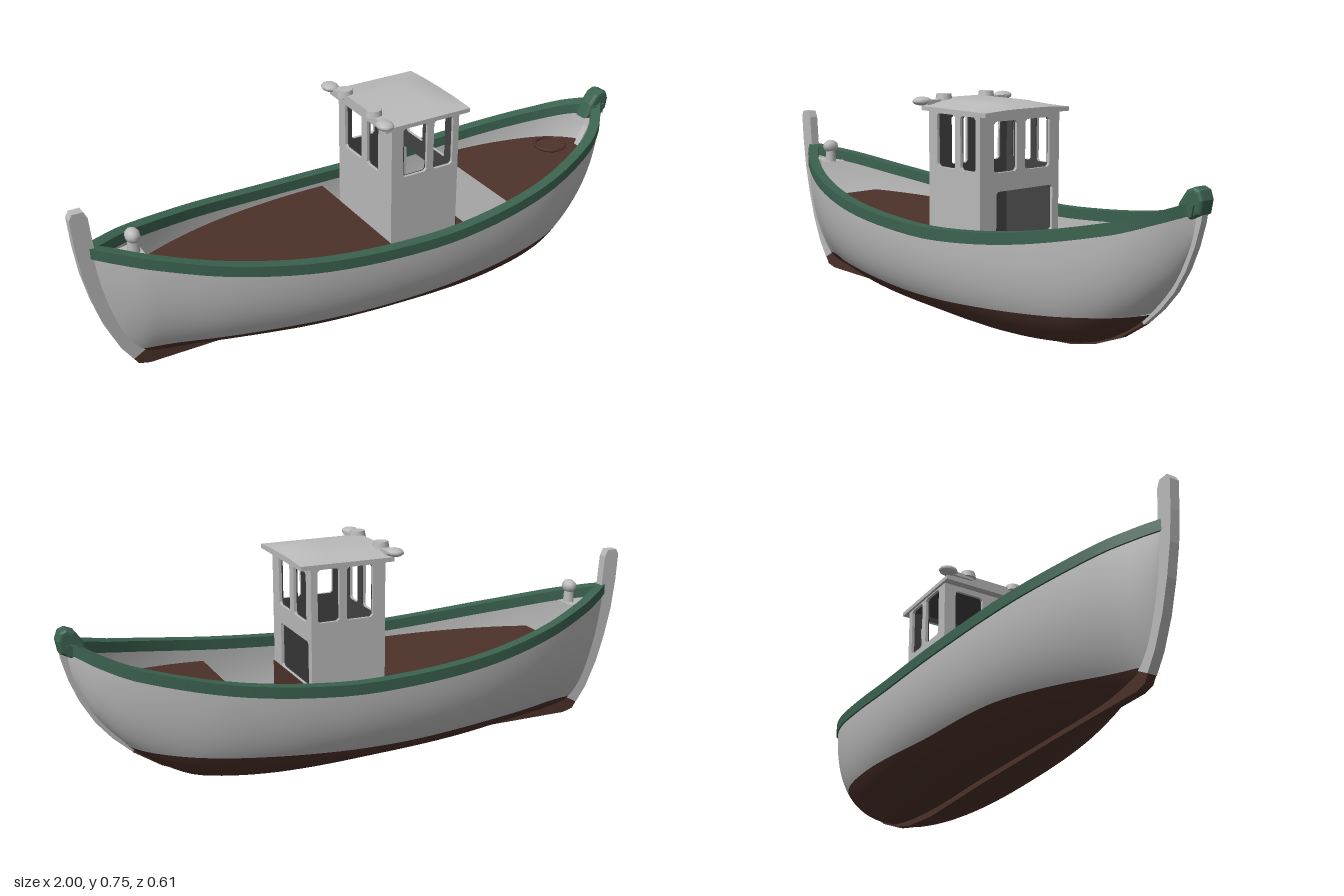
import * as THREE from 'three';

const mat = (name, color) => {
  const m = new THREE.MeshStandardMaterial({ color, side: THREE.DoubleSide });
  m.name = name;
  return m;
};

// Smooth interpolation through [x, value] pairs
function curve(pts) {
  const slope = i => {
    const a = pts[Math.max(0, i - 1)], b = pts[Math.min(pts.length - 1, i + 1)];
    return (b[1] - a[1]) / (b[0] - a[0]);
  };
  return x => {
    let i = 0;
    while (i < pts.length - 2 && x > pts[i + 1][0]) i++;
    const [x0, y0] = pts[i], [x1, y1] = pts[i + 1], h = x1 - x0;
    const t = THREE.MathUtils.clamp((x - x0) / h, 0, 1), t2 = t * t, t3 = t2 * t;
    return y0 * (2 * t3 - 3 * t2 + 1) + y1 * (3 * t2 - 2 * t3)
      + h * (slope(i) * (t3 - 2 * t2 + t) + slope(i + 1) * (t3 - t2));
  };
}

// Hull lines as functions of x
const sheer = curve([[-0.95, 0.488], [-0.8, 0.457], [-0.6, 0.417], [-0.3, 0.376], [0, 0.36], [0.2, 0.362], [0.5, 0.394], [0.8, 0.455], [0.9, 0.49], [0.97, 0.52]]);
const beam = curve([[-0.95, 0.01], [-0.9, 0.048], [-0.8, 0.112], [-0.6, 0.2], [-0.4, 0.255], [-0.2, 0.285], [0, 0.298], [0.2, 0.298], [0.4, 0.283], [0.6, 0.246], [0.8, 0.17], [0.9, 0.1], [0.97, 0.012]]);
const bottom = curve([[-0.95, 0.42], [-0.93, 0.3], [-0.9, 0.19], [-0.86, 0.1], [-0.8, 0.05], [-0.4, 0.035], [0, 0.03], [0.35, 0.022], [0.6, 0.045], [0.7, 0.087], [0.8, 0.157], [0.9, 0.272], [0.95, 0.375], [0.97, 0.43]]);
const fullness = curve([[-0.95, 1], [-0.8, 0.95], [-0.6, 0.62], [-0.4, 0.45], [-0.1, 0.36], [0.3, 0.35], [0.6, 0.36], [0.8, 0.42], [0.97, 0.6]]);
const waterline = curve([[-0.87, 0.08], [-0.4, 0.115], [0, 0.113], [0.4, 0.138], [0.8, 0.17]]);

function hullZ(x, y) {
  const k = bottom(x), v = THREE.MathUtils.clamp((y - k) / (sheer(x) - k), 0, 1);
  return beam(x) * Math.pow(1 - Math.pow(1 - v, 2.5), fullness(x));
}

// Grid surface from fn(u, v), with u and v in 0..1
function surface(nu, nv, fn, flip = false) {
  const pos = [], idx = [];
  for (let i = 0; i <= nu; i++) for (let j = 0; j <= nv; j++) pos.push(...fn(i / nu, j / nv));
  for (let i = 0; i < nu; i++) for (let j = 0; j < nv; j++) {
    const a = i * (nv + 1) + j, b = a + nv + 1;
    if (flip) idx.push(a, a + 1, b, b, a + 1, b + 1);
    else idx.push(a, b, a + 1, b, b + 1, a + 1);
  }
  const g = new THREE.BufferGeometry();
  g.setAttribute('position', new THREE.Float32BufferAttribute(pos, 3));
  g.setIndex(idx);
  g.computeVertexNormals();
  return g;
}

// Centred extrusion of a side profile
function plate(points, depth, holes = [], bevel = 0) {
  const shape = new THREE.Shape(points.map(p => new THREE.Vector2(...p)));
  for (const [x0, x1, y0, y1] of holes) {
    const c = 0.008;
    shape.holes.push(new THREE.Path([[x0, y0 + c], [x0, y1 - c], [x0 + c, y1], [x1 - c, y1], [x1, y1 - c], [x1, y0 + c], [x1 - c, y0], [x0 + c, y0]]
      .map(p => new THREE.Vector2(...p))));
  }
  return new THREE.ExtrudeGeometry(shape, {
    depth, bevelEnabled: bevel > 0, bevelSize: bevel, bevelThickness: bevel, bevelOffset: -bevel, bevelSegments: 3
  }).translate(0, 0, -depth / 2);
}

export function createModel() {
  const white = mat('white paint', 0xbababa);
  const brown = mat('brown paint', 0x4c3129);
  const green = mat('green paint', 0x3b624f);
  const dark = mat('dark interior', 0x424242);
  const boat = new THREE.Group();
  boat.name = 'fishingBoat';
  const add = (name, geo, material, parent = boat) => {
    const m = new THREE.Mesh(geo, material);
    m.name = name;
    parent.add(m);
    return m;
  };
  const lerp = THREE.MathUtils.lerp;
  const station = (u, a = -0.95, b = 0.97) => lerp(a, b, (1 - Math.cos(u * Math.PI)) / 2);
  const floorY = 0.105, wellA = -0.01, wellB = 0.47;
  const inside = (x, y) => Math.max(0, hullZ(x, y) - 0.013);

  // Hull skin, inner lining and gunwale, mirrored
  for (const s of [1, -1]) {
    const side = s > 0 ? 'Left' : 'Right', flip = s < 0;
    add('bottom' + side, surface(60, 14, (u, v) => {
      const x = station(u, -0.87, 0.815), k = bottom(x), y = lerp(k, Math.max(k, waterline(x)), v * v);
      return [x, y, s * hullZ(x, y)];
    }, flip), brown);
    add('topside' + side, surface(110, 14, (u, v) => {
      const x = station(u), y = lerp(Math.max(bottom(x), waterline(x)), sheer(x) - 0.01, v * (0.4 + 0.6 * v));
      return [x, y, s * hullZ(x, y)];
    }, flip), white);
    add('lining' + side, surface(60, 12, (u, v) => {
      const x = station(u, -0.94, 0.95), y = lerp(Math.max(bottom(x) + 0.01, 0.1), sheer(x) - 0.01, v);
      return [x, y, s * inside(x, y)];
    }, !flip), white);
    // Rail faces: outer, top, inner, underside
    const corner = (x, c) => {
      const slope = (beam(x + 0.01) - beam(x - 0.01)) / 0.02;
      const w = 0.031 * Math.min(2, Math.hypot(1, slope));
      const z = c === 0 || c === 1 ? beam(x) + 0.006 : Math.max(0, beam(x) - w);
      return [x, sheer(x) - (c === 0 || c === 3 ? 0.036 : 0), s * z];
    };
    for (let c = 0; c < 4; c++)
      add('gunwale' + side, surface(48, 1, (u, v) => corner(station(u), (c + v) % 4), flip), green);
  }

  // Keel, stem post, stern post and stern cap
  add('keel', plate([[-0.853, 0.055], [-0.838, 0.032], [-0.8, 0.022], [-0.4, 0.02], [0, 0.013], [0.35, 0], [0.5, 0.012], [0.6, 0.035], [0.7, 0.075], [0.79, 0.135],
    [0.77, 0.17], [0.68, 0.12], [0.55, 0.07], [0.35, 0.05], [-0.79, 0.09]], 0.028), brown);
  add('stemPost', plate([[-0.853, 0.055], [-0.89, 0.11], [-0.93, 0.2], [-0.96, 0.3], [-0.982, 0.4], [-0.994, 0.5], [-1, 0.595], [-0.99, 0.613], [-0.955, 0.613],
    [-0.944, 0.59], [-0.935, 0.47], [-0.91, 0.35], [-0.86, 0.2], [-0.79, 0.09]], 0.032), white);
  add('sternPost', plate([[0.79, 0.135], [0.85, 0.19], [0.9, 0.25], [0.94, 0.32], [0.968, 0.39], [0.987, 0.46], [0.993, 0.5], [0.95, 0.5],
    [0.93, 0.42], [0.86, 0.29], [0.77, 0.17]], 0.024), white);
  add('sternCap', plate([[0.9, 0.465], [0.945, 0.46], [0.993, 0.485], [1, 0.525], [0.99, 0.552], [0.97, 0.56], [0.945, 0.55], [0.92, 0.515]], 0.036, [], 0.012), green);
  for (const s of [1, -1])
    add('sternCapKnee', plate([[0.92, 0.475], [0.972, 0.478], [0.978, 0.512], [0.93, 0.51]], 0.016), green).position.z = s * 0.028;

  // Decks, cockpit floor and bulkheads
  const foreY = x => 0.3 - 0.03 * x, aftY = x => 0.31 + 0.1 * (x - wellB);
  const deck = (name, a, b, yAt, zAt, material) => add(name, surface(24, 2, (u, v) => {
    const x = lerp(a, b, u), y = yAt(x);
    return [x, y, (1 - 2 * v) * zAt(x, y)];
  }), material);
  deck('foreDeck', -0.72, wellA, foreY, inside, brown);
  deck('aftDeck', wellB, 0.935, aftY, inside, brown);
  deck('cockpitFloor', wellA, wellB, () => floorY, inside, brown);
  deck('breasthook', -0.93, -0.79, () => 0.435, x => 0.35 * beam(x), white);
  for (const [x, low, top] of [[-0.72, 0.12, foreY(-0.72)], [wellA, floorY, foreY(wellA)], [wellB, floorY, aftY(wellB)]])
    add('bulkhead', surface(1, 8, (u, v) => {
      const y = lerp(low, top, v);
      return [x, y, (1 - 2 * u) * inside(x, y)];
    }, x > 0), white);

  // Wheelhouse walls with dark inner lining, windows and a low opening
  const house = new THREE.Group();
  house.name = 'wheelhouse';
  boat.add(house);
  const wall = (x0, x1, holes, depth, top = 0.71) => plate([[x0, floorY], [x1, floorY], [x1, top], [x0, top]], depth, holes);
  const sideHoles = [[0.037, 0.127, 0.525, 0.695], [0.152, 0.225, 0.525, 0.695]];
  const frontHoles = [[-0.085, -0.015, 0.52, 0.68], [0.02, 0.125, 0.52, 0.68]];
  const rearHoles = [[-0.11, -0.015, 0.52, 0.68], [0.02, 0.125, 0.52, 0.68], [-0.1, 0.14, 0.31, 0.46]];
  for (const s of [1, -1]) {
    add('sideWall', wall(-0.005, 0.247, sideHoles, 0.01), white, house).position.z = s * 0.162;
    add('sideWallLining', wall(0.008, 0.234, sideHoles, 0.004), dark, house).position.z = s * 0.155;
  }
  for (const [x, dir, holes] of [[0, 1, frontHoles], [0.242, -1, rearHoles]]) {
    add('endWall', wall(-0.167, 0.167, holes, 0.01).rotateY(Math.PI / 2), white, house).position.x = x;
    add('endWallLining', wall(-0.153, 0.153, holes, 0.004).rotateY(Math.PI / 2), dark, house).position.x = x + dir * 0.007;
  }
  add('lowerRearPanel', wall(-0.167, 0.167, [], 0.004, 0.31).rotateY(Math.PI / 2), brown, house).position.x = 0.249;
  add('ceiling', new THREE.BoxGeometry(0.226, 0.004, 0.306), dark, house).position.set(0.121, 0.698, 0);

  // Crowned roof
  const roof = new THREE.BoxGeometry(0.315, 0.014, 0.35, 10, 1, 12);
  const p = roof.attributes.position;
  for (let i = 0; i < p.count; i++) if (p.getY(i) > 0) {
    const edge = Math.max(0, (p.getX(i) - 0.04) / 0.12), z = Math.abs(p.getZ(i)) / 0.175;
    p.setY(i, p.getY(i) + 0.022 * Math.min(1, 1.7 * (1 - z)) * (1 - 0.8 * edge * edge));
  }
  roof.computeVertexNormals();
  add('roof', roof, white, house).position.set(0.125, 0.706, 0);

  // Roof lamps
  for (const s of [1, -1]) {
    const outer = add('outerLamp', new THREE.SphereGeometry(1, 10, 8), white, house);
    outer.scale.set(0.028, 0.014, 0.034);
    outer.position.set(-0.035, 0.728, s * 0.172);
    const inner = add('innerLamp', new THREE.CylinderGeometry(0.024, 0.028, 0.022, 10), white, house);
    inner.position.set(-0.025, 0.737, s * 0.09);
    const arm = add('lampArm', new THREE.BoxGeometry(0.03, 0.014, 0.09), white, house);
    arm.position.set(-0.025, 0.724, s * 0.125);
  }

  // Mooring post at the bow
  add('mooringPost', new THREE.CylinderGeometry(0.016, 0.02, 0.06, 10), white).position.set(-0.815, 0.462, 0.01);
  const head = add('mooringPostHead', new THREE.SphereGeometry(1, 10, 8), white);
  head.scale.set(0.024, 0.024, 0.03);
  head.position.set(-0.815, 0.491, 0.01);

  // Rope coil on the aft deck
  const coil = add('ropeCoil', new THREE.TorusGeometry(0.055, 0.006, 6, 20).rotateX(Math.PI / 2), brown);
  coil.position.set(0.82, 0.348, -0.06);
  return boat;
}
